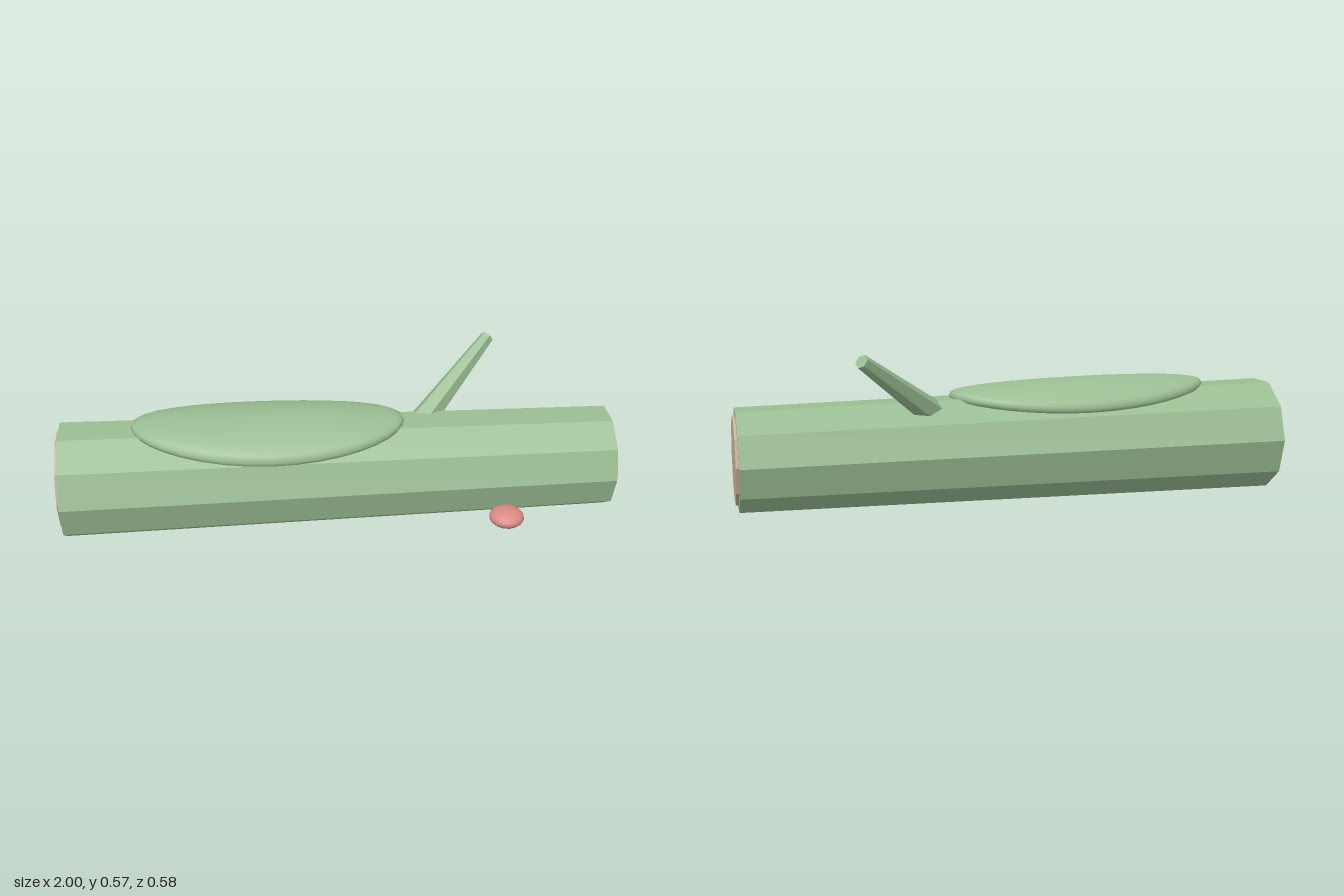
import * as THREE from 'three';

const green = new THREE.MeshStandardMaterial({ name: 'moss green', color: 0x9abd93, flatShading: true });
const softGreen = new THREE.MeshStandardMaterial({ name: 'moss green smooth', color: 0x9abd93 });
const tan = new THREE.MeshStandardMaterial({ name: 'cut wood', color: 0xc8b094, flatShading: true });
const pink = new THREE.MeshStandardMaterial({ name: 'mushroom pink', color: 0xd98a84 });

// Tapered prism running from point a to point b
function limb(name, a, b, ra, rb, sides, material) {
  const start = new THREE.Vector3(...a), end = new THREE.Vector3(...b);
  const dir = end.clone().sub(start);
  const mesh = new THREE.Mesh(new THREE.CylinderGeometry(rb, ra, dir.length(), sides), material);
  mesh.quaternion.setFromUnitVectors(new THREE.Vector3(0, 1, 0), dir.normalize());
  mesh.position.copy(start).add(end).multiplyScalar(0.5);
  mesh.name = name;
  return mesh;
}

// Thin cushion draped over the top of the log
function mossPatch() {
  const geo = new THREE.SphereGeometry(1, 36, 20);
  const p = geo.attributes.position;
  for (let i = 0; i < p.count; i++) {
    const a = p.getX(i), b = p.getY(i), c = p.getZ(i);
    const crown = 0.395 - 0.01 * a - 0.047 * c * c;
    const swell = 0.042 * Math.sign(b) * Math.abs(b) ** 0.65;
    p.setXYZ(i, -0.25 + 0.485 * a, crown + swell, 0.03 + 0.205 * c);
  }
  geo.computeVertexNormals();
  const mesh = new THREE.Mesh(geo, softGreen);
  mesh.name = 'mossPatch';
  return mesh;
}

export function createModel() {
  const model = new THREE.Group();
  model.name = 'fallenLog';

  // Trunk and its two cut faces
  model.add(limb('trunk', [-0.99, 0.2, 0.027], [0.99, 0.188, 0.027], 0.21, 0.185, 10, green));
  model.add(limb('cutFaceWide', [-1, 0.203, 0.027], [-0.98, 0.203, 0.027], 0.177, 0.177, 10, tan));
  model.add(limb('cutFaceNarrow', [0.98, 0.188, 0.027], [1, 0.188, 0.027], 0.158, 0.158, 10, tan));

  // Broken branch stub
  model.add(limb('branch', [0.29, 0.32, -0.014], [0.59, 0.552, -0.268], 0.05, 0.025, 6, green));

  model.add(mossPatch());

  // Small mushroom on the side
  const mushroom = new THREE.Mesh(new THREE.SphereGeometry(1, 16, 10), pink);
  mushroom.scale.set(0.063, 0.032, 0.064);
  mushroom.position.set(0.59, 0.07, 0.226);
  mushroom.name = 'mushroom';
  model.add(mushroom);

  return model;
}
